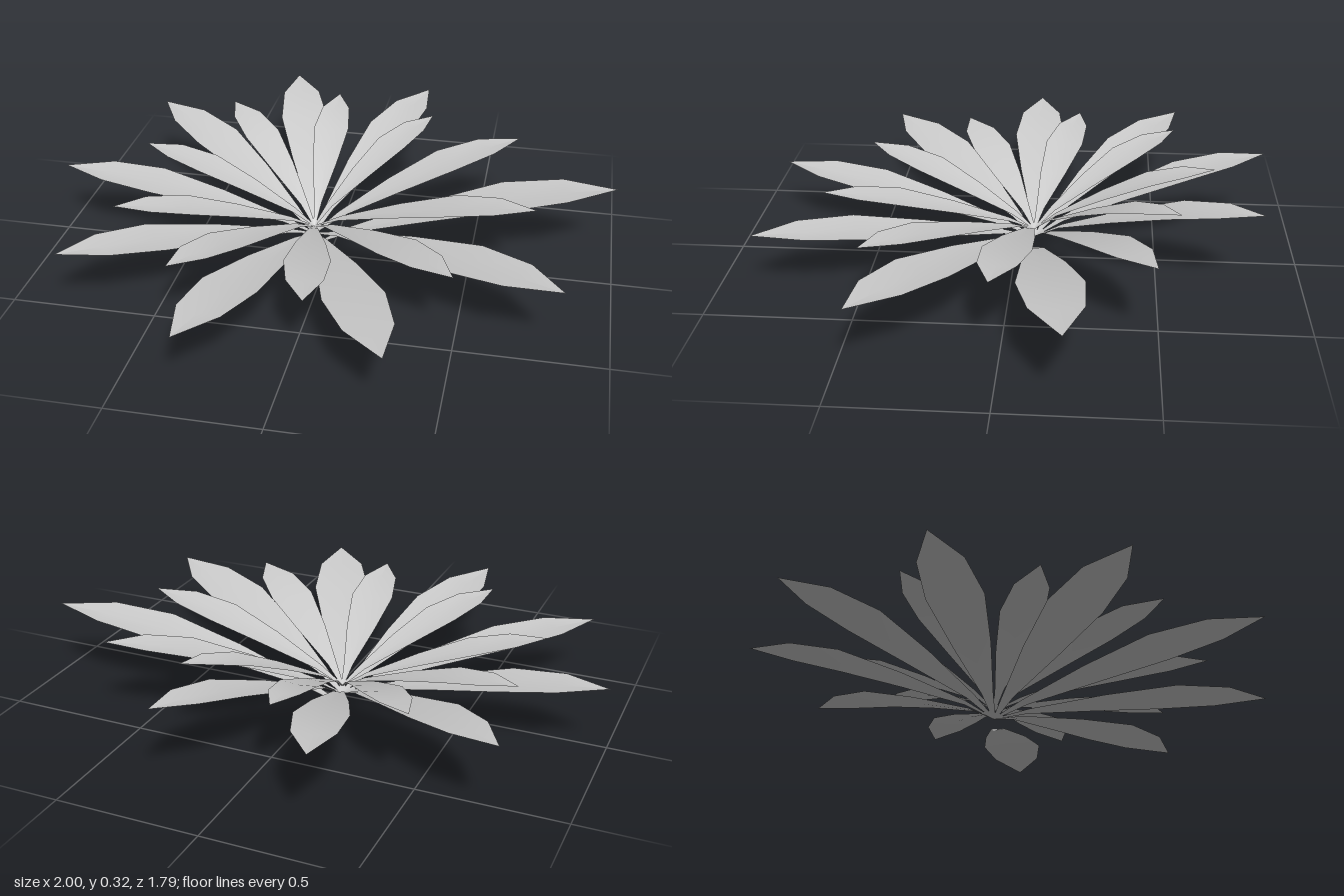
import * as THREE from 'three';

// Leaf cross-sections: [fraction of length, half width / length, fraction of rise]
const SECTIONS = [
  [0, 0.006, 0], [0.12, 0.022, 0.24], [0.38, 0.07, 0.57],
  [0.63, 0.103, 0.84], [0.83, 0.081, 0.96], [1, 0, 1],
];
const CENTRE = [-0.07, -0.065];

// Tips as [x, y, z]; optional fourth value is the height of the stalk end
const OUTER = [
  [-0.31, 0.295, -0.9], [0.24, 0.3, -0.85], [0.63, 0.295, -0.485], [0.995, 0.265, -0.205, 0],
  [0.84, 0.235, 0.455], [0.33, 0.21, 0.87], [-0.31, 0.21, 0.89], [-0.82, 0.22, 0.53],
  [-1, 0.24, -0.045], [-0.79, 0.27, -0.595],
];
const INNER = [
  [-0.1, 0.315, -0.705], [0.29, 0.317, -0.57], [0.725, 0.28, 0.03], [0.49, 0.26, 0.475],
  [0.05, 0.25, 0.68], [-0.42, 0.255, 0.58], [-0.72, 0.25, 0.235], [-0.74, 0.275, -0.21],
  [-0.5, 0.305, -0.575],
];

// A thin arching blade with a shallow fold along its midrib
function leafGeometry([tx, ty, tz], baseY) {
  const dx = tx - CENTRE[0], dz = tz - CENTRE[1];
  const length = Math.hypot(dx, dz);
  const pos = [], index = [];
  SECTIONS.forEach(([t, w, rise], row) => {
    const y = baseY + (ty - baseY) * rise;
    for (const side of [-1, 0, 1]) {
      pos.push(
        CENTRE[0] + dx * t - dz * w * side,
        y - (side === 0 ? w * length * 0.1 : 0),
        CENTRE[1] + dz * t + dx * w * side,
      );
    }
    if (row === 0) return;
    for (const k of [0, 1]) {
      const a = (row - 1) * 3 + k, b = a + 3;
      index.push(a, a + 1, b);
      if (row < SECTIONS.length - 1) index.push(a + 1, b + 1, b);
      else if (k === 1) index.push(a, a + 1, b);
    }
  });
  // Reverse each triangle so the upper face is the front
  for (let i = 0; i < index.length; i += 3) {
    const [p, q, r] = index.slice(i, i + 3).map((n) => new THREE.Vector3().fromArray(pos, n * 3));
    if (q.sub(p).cross(r.sub(p)).y < 0) [index[i + 1], index[i + 2]] = [index[i + 2], index[i + 1]];
  }
  const geometry = new THREE.BufferGeometry();
  geometry.setAttribute('position', new THREE.Float32BufferAttribute(pos, 3));
  geometry.setIndex(index);
  geometry.computeVertexNormals();
  return geometry;
}

export function createModel() {
  const model = new THREE.Group();
  model.name = 'leafRosette';
  const material = new THREE.MeshStandardMaterial({ color: 0xcccccc, side: THREE.DoubleSide });

  // Long lower ring, then short upper ring
  for (const [name, tips, baseY] of [['outerLeaf', OUTER, 0.045], ['innerLeaf', INNER, 0.075]]) {
    const ring = new THREE.Group();
    ring.name = name + 'Ring';
    tips.forEach((tip, i) => {
      const leaf = new THREE.Mesh(leafGeometry(tip, tip[3] ?? baseY), material);
      leaf.name = name + (i + 1);
      ring.add(leaf);
    });
    model.add(ring);
  }
  return model;
}
